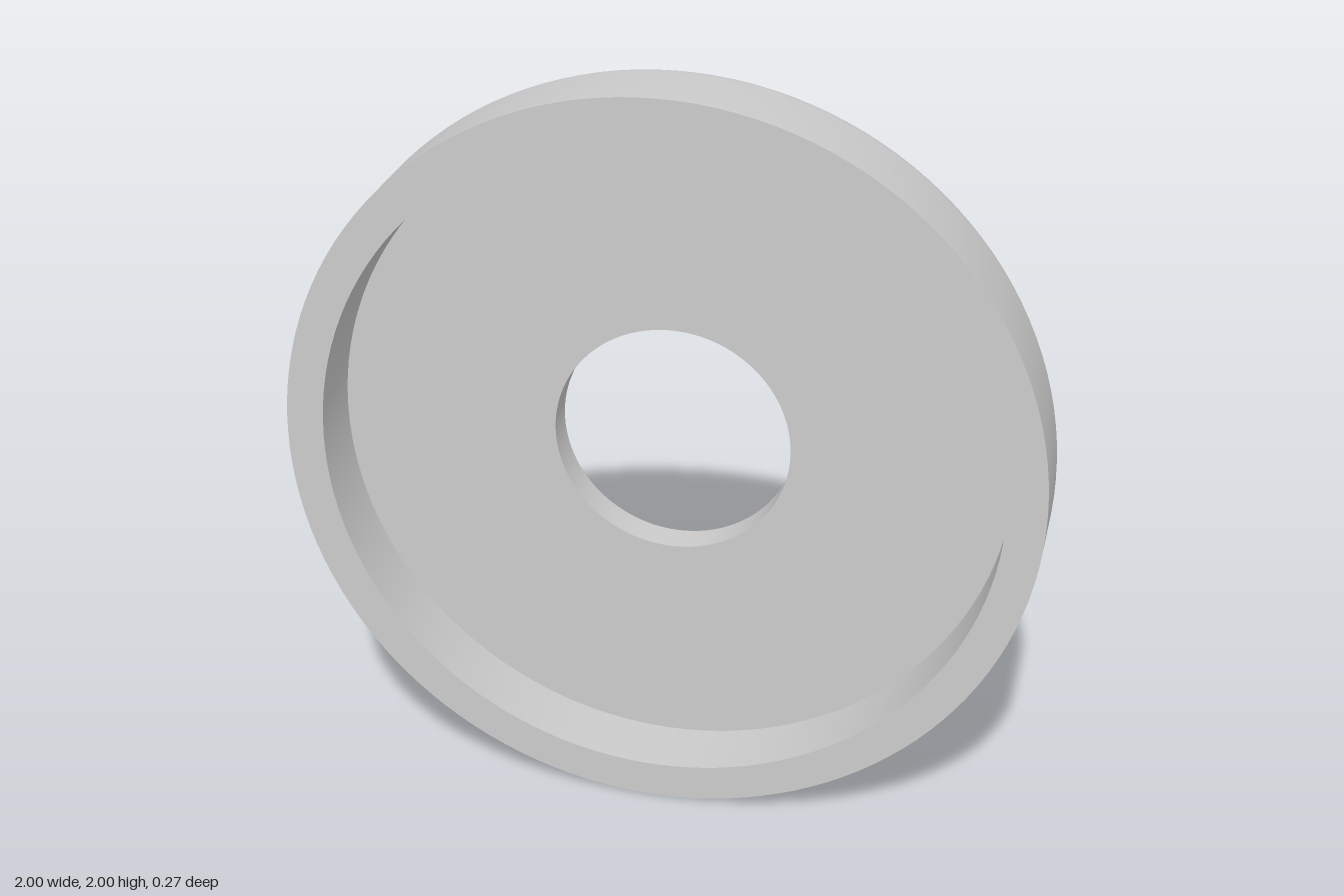
import * as THREE from 'three';
import { toCreasedNormals } from 'three/addons/utils/BufferGeometryUtils.js';

export function createModel() {
  const R = 1, recessR = 0.9, holeR = 0.317; // radii
  const half = 0.137, floor = 0.09, fillet = 0.07; // half depth, web thickness, back edge rounding

  // Closed cross-section: hole edge, back face, rounded edge, rim, recess
  const profile = [new THREE.Vector2(holeR, -half)];
  const steps = 10;
  for (let i = 0; i <= steps; i++) {
    const a = (i / steps - 1) * Math.PI / 2;
    profile.push(new THREE.Vector2(
      R - fillet + fillet * Math.cos(a),
      -half + fillet + fillet * Math.sin(a)
    ));
  }
  profile.push(
    new THREE.Vector2(R, half),
    new THREE.Vector2(recessR, half),
    new THREE.Vector2(recessR, -half + floor),
    new THREE.Vector2(holeR, -half + floor),
    new THREE.Vector2(holeR, -half)
  );

  // Turn the profile, then lay its axis along z with the recess in front
  const geometry = toCreasedNormals(new THREE.LatheGeometry(profile, 128), Math.PI / 6);
  geometry.rotateX(Math.PI / 2);

  const disc = new THREE.Mesh(geometry, new THREE.MeshStandardMaterial({ color: 0xcccccc }));
  disc.name = 'recessedDisc';
  disc.position.y = R;

  const group = new THREE.Group();
  group.name = 'cupWasher';
  group.add(disc);
  return group;
}
